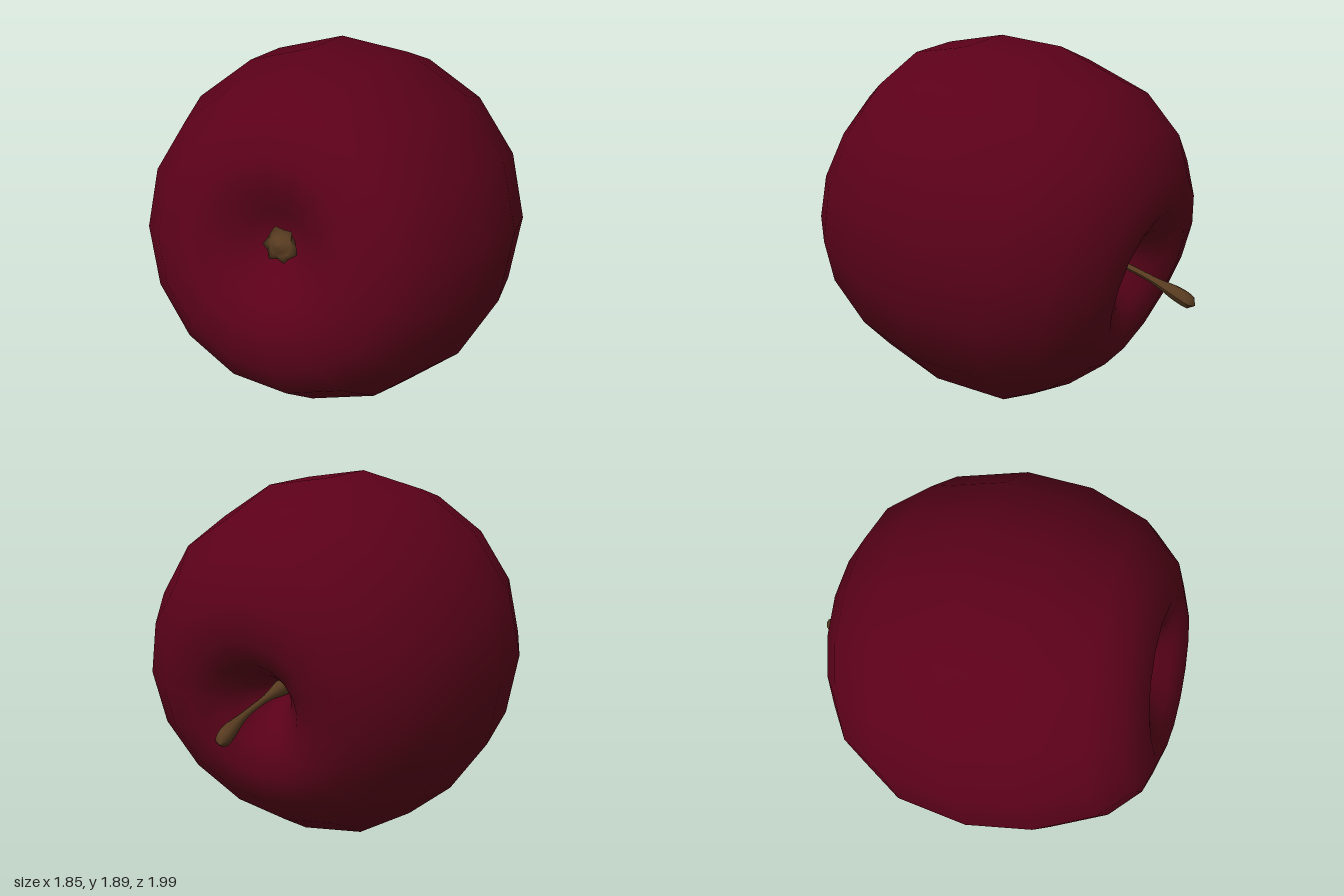
import * as THREE from 'three';

const skin = new THREE.MeshStandardMaterial({ name: 'darkRedSkin', color: 0x5b0119 });
const wood = new THREE.MeshStandardMaterial({ name: 'brownWood', color: 0x573b20, side: THREE.DoubleSide });

// Core axis of the fruit, running from the stem to the blossom end
const centre = new THREE.Vector3(0, 0.945, 0.07);
const axis = new THREE.Vector3(0.14, 0.24, 0.96).normalize();

function mesh(name, geometry, material) {
  const m = new THREE.Mesh(geometry, material);
  m.name = name;
  return m;
}

// Sixteen-sided fruit with a deep dimple at each end
function makeBody() {
  const profile = [
    [0, -0.53], [0.05, -0.56], [0.12, -0.67], [0.22, -0.785], [0.36, -0.85], [0.535, -0.815],
    [0.725, -0.675], [0.875, -0.42], [0.938, -0.03], [0.893, 0.32], [0.765, 0.62],
    [0.61, 0.78], [0.41, 0.85], [0.27, 0.8], [0.16, 0.72], [0.08, 0.665], [0, 0.65],
  ].map(([r, y]) => new THREE.Vector2(r, y));
  const g = new THREE.LatheGeometry(profile, 16, THREE.MathUtils.degToRad(14));
  // Uneven rims: the blossom end sinks on its upper side, the stem end on its lower side
  const p = g.attributes.position;
  for (let i = 0; i < p.count; i++) {
    const y = p.getY(i), z = p.getZ(i);
    if (y > 0.64) p.setY(i, y - 0.07 * Math.max(0, -z));
    if (y < -0.52) p.setY(i, y + 0.1 * Math.max(0, z));
  }
  return g;
}

// Dried blossom: a small domed disc with a ragged rim
function makeBlossom() {
  const sides = 14;
  const profile = [[0.05, 0.65], [0.085, 0.70], [0.055, 0.705], [0.035, 0.725], [0, 0.735]]
    .map(([r, y]) => new THREE.Vector2(r, y));
  const g = new THREE.LatheGeometry(profile, sides);
  const p = g.attributes.position;
  for (let i = 0; i < p.count; i++) {
    const column = Math.floor(i / profile.length) % sides;
    if (i % profile.length === 1) {
      const k = [0.85, 1.05, 0.92, 1.1, 0.98][column % 5];
      p.setXYZ(i, p.getX(i) * k, p.getY(i) + (column % 3) * 0.008, p.getZ(i) * k);
    }
  }
  g.computeVertexNormals();
  return g;
}

// Bent stem, wide at the root, thin in the middle and knobbed at the tip
function makeStem() {
  const path = new THREE.CatmullRomCurve3([
    [-0.07, 0.825, -0.43], [-0.085, 0.80, -0.54], [-0.1, 0.765, -0.67],
    [-0.115, 0.725, -0.79], [-0.14, 0.67, -0.92], [-0.16, 0.63, -0.99],
  ].map((v) => new THREE.Vector3(...v)));
  const radii = [
    0.05, 0.046, 0.042, 0.037, 0.032, 0.027, 0.023, 0.02, 0.018, 0.017, 0.017, 0.017,
    0.017, 0.018, 0.019, 0.021, 0.024, 0.028, 0.032, 0.036, 0.038, 0.039, 0.038, 0.034, 0,
  ];
  const base = 0.02, sides = 8;
  const g = new THREE.TubeGeometry(path, radii.length - 1, base, sides);
  const p = g.attributes.position, n = g.attributes.normal;
  for (let i = 0; i < p.count; i++) {
    const grow = radii[Math.floor(i / (sides + 1))] - base;
    p.setXYZ(i, p.getX(i) + n.getX(i) * grow, p.getY(i) + n.getY(i) * grow, p.getZ(i) + n.getZ(i) * grow);
  }
  g.computeVertexNormals();
  return g;
}

export function createModel() {
  const model = new THREE.Group();
  model.name = 'apple';

  const fruit = new THREE.Group();
  fruit.name = 'fruit';
  fruit.position.copy(centre);
  fruit.quaternion.setFromUnitVectors(new THREE.Vector3(0, 1, 0), axis);
  const blossom = mesh('blossomEnd', makeBlossom(), wood);
  blossom.position.x = 0.015;
  fruit.add(mesh('body', makeBody(), skin), blossom);

  model.add(fruit, mesh('stem', makeStem(), wood));
  return model;
}
